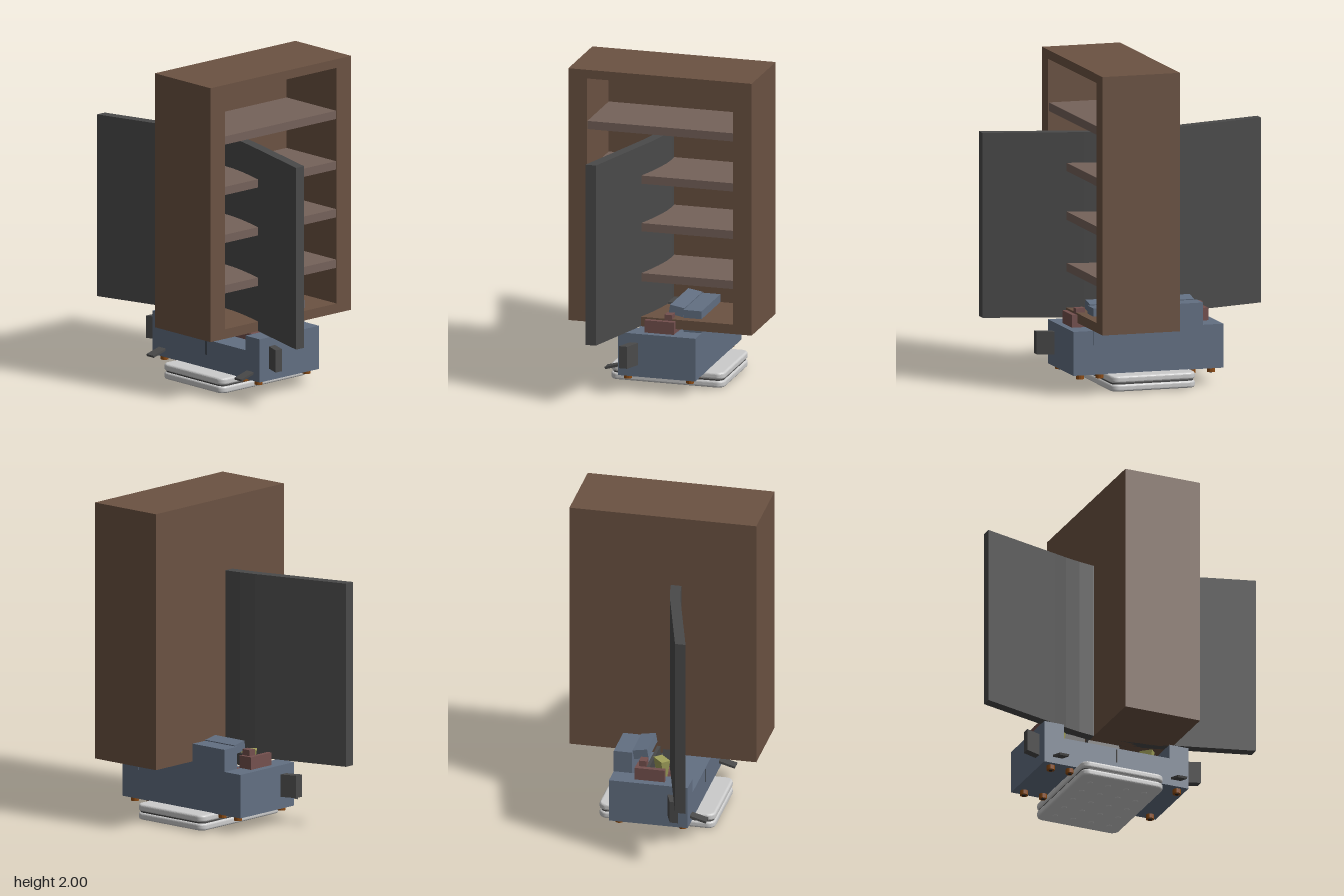
import * as THREE from 'three';

const material = (color) => new THREE.MeshStandardMaterial({ color, flatShading: true });
const brown = material(0x6b5242), shelfBrown = material(0x75625a), dark = material(0x4a4a4a);
const blue = material(0x626f82), red = material(0x74504e), yellow = material(0xa0a05a);
const copper = material(0x8a4a12), black = material(0x222222), grey = material(0xcccccc);

function add(parent, name, geometry, mat) {
  const mesh = new THREE.Mesh(geometry, mat);
  mesh.name = name;
  parent.add(mesh);
  return mesh;
}

// Box given by its limits on each axis
function block(parent, name, mat, [x0, x1], [y0, y1], [z0, z1]) {
  const mesh = add(parent, name, new THREE.BoxGeometry(Math.abs(x1 - x0), y1 - y0, z1 - z0), mat);
  mesh.position.set((x0 + x1) / 2, (y0 + y1) / 2, (z0 + z1) / 2);
  return mesh;
}

// Vertical wall extruded from a plan outline of [x, z] points
function planExtrude(points, y0, y1) {
  const shape = new THREE.Shape(points.map(([x, z]) => new THREE.Vector2(x, -z)));
  return new THREE.ExtrudeGeometry(shape, { depth: y1 - y0, bevelEnabled: false })
    .rotateX(-Math.PI / 2).translate(0, y0, 0);
}

// Box whose top and bottom are scaled differently
function taperedBox(w, h, d, top, bottom) {
  const g = new THREE.BoxGeometry(w, h, d);
  const p = g.attributes.position;
  for (let i = 0; i < p.count; i++) {
    const k = p.getY(i) > 0 ? top : bottom;
    p.setX(i, p.getX(i) * k);
    p.setZ(i, p.getZ(i) * k);
  }
  g.computeVertexNormals();
  return g;
}

function roundedRect(w, d, r) {
  const s = new THREE.Shape(), x = w / 2, y = d / 2;
  s.absarc(x - r, y - r, r, 0, Math.PI / 2);
  s.absarc(r - x, y - r, r, Math.PI / 2, Math.PI);
  s.absarc(r - x, r - y, r, Math.PI, Math.PI * 1.5);
  s.absarc(x - r, r - y, r, Math.PI * 1.5, Math.PI * 2);
  s.closePath();
  return s;
}

function rectPath(path, u, y0, y1) {
  path.moveTo(-u, y0).lineTo(u, y0).lineTo(u, y1).lineTo(-u, y1).closePath();
  return path;
}

function makeCabinet() {
  const g = new THREE.Group();
  g.name = 'cabinet';
  // Frame, open towards +x
  const frame = rectPath(new THREE.Shape(), 0.585, 0.4, 2);
  frame.holes.push(rectPath(new THREE.Path(), 0.465, 0.46, 1.945));
  const frameGeo = new THREE.ExtrudeGeometry(frame, { depth: 0.5, bevelEnabled: false })
    .rotateY(Math.PI / 2).translate(-0.095, 0, 0);
  add(g, 'cabinetFrame', frameGeo, brown);
  block(g, 'cabinetBack', brown, [-0.095, -0.045], [0.46, 1.945], [-0.465, 0.465]);
  for (const y of [0.71, 1.028, 1.33, 1.648])
    block(g, 'shelf', shelfBrown, [-0.045, 0.4], [y - 0.026, y + 0.026], [-0.465, 0.465]);
  return g;
}

function makePanel() {
  // Bent sheet: curved in the middle, straight wings
  const half = [[0, 0.045], [0.1, 0.051], [0.2, 0.068], [0.3, 0.092], [0.38, 0.115], [0.895, 0.26]];
  const back = [...half.slice(1).reverse().map(([x, z]) => [-x, z]), ...half];
  const front = back.map(([x, z]) => [x, z + 0.066]).reverse();
  return planExtrude([...back, ...front], 0.4, 1.545);
}

function makeBase() {
  const g = new THREE.Group();
  g.name = 'base';
  block(g, 'body', blue, [-0.485, 0.48], [0.1, 0.28], [-0.248, 0.245]);
  block(g, 'rearBlock', blue, [-0.355, 0.35], [0.28, 0.51], [-0.248, -0.132]);
  block(g, 'frontSlot', black, [-0.004, 0.004], [0.185, 0.27], [0.2, 0.247]);
  const hood = add(g, 'rearHood', new THREE.BoxGeometry(0.67, 0.058, 0.092), blue);
  hood.position.set(0, 0.495, -0.084);
  hood.rotation.x = -0.17;

  // Middle seat and upright
  block(g, 'seat', red, [-0.35, 0.35], [0.28, 0.325], [-0.01, 0.065]);
  block(g, 'axle', dark, [-0.41, 0.41], [0.37, 0.445], [-0.035, -0.015]);
  const upright = add(g, 'upright', taperedBox(0.24, 0.147, 0.06, 0.7, 1), dark);
  upright.position.set(0, 0.398, 0.025);

  for (const s of [-1, 1]) {
    // Side cheek and bracket
    block(g, 'cheek', blue, [s * 0.353, s < 0 ? -0.485 : 0.48], [0.28, 0.372], [-0.248, 0.245]);
    block(g, 'bracketWall', red, [s * 0.408, s * 0.438], [0.37, 0.45], [-0.098, 0.09]);
    block(g, 'bracketArm', red, [s * 0.345, s * 0.408], [0.37, 0.45], [-0.098, -0.035]);
    block(g, 'bracketBlock', red, [s * 0.35, s * 0.408], [0.45, 0.487], [-0.078, -0.03]);

    // Leaning yellow stop
    const stop = add(g, 'stop', taperedBox(0.1, 0.175, 0.06, 1, 0.45), yellow);
    stop.position.set(s * 0.295, 0.372, 0.04);
    stop.rotation.y = -s * 0.75;

    // Slanted side bumper
    const outline = [[0.45, 0.105], [0.582, 0.155], [0.582, 0.207], [0.45, 0.157]]
      .map(([x, z]) => [s * x, z]);
    add(g, 'sideBumper', planExtrude(outline, 0.175, 0.315), dark);

    // Sloping pedal at the front
    const pedal = add(g, 'pedal', new THREE.BoxGeometry(0.062, 0.014, 0.125), dark);
    pedal.position.set(s * 0.395, 0.137, 0.286);
    pedal.rotation.x = 0.27;

    // Bolts under the body
    for (const x of [0.295, 0.422])
      for (const z of [-0.198, 0.2]) {
        const bolt = add(g, 'bolt', new THREE.CylinderGeometry(0.025, 0.025, 0.03, 12), copper);
        bolt.position.set(s * x, 0.086, z);
        const socket = add(g, 'boltSocket', new THREE.CylinderGeometry(0.012, 0.012, 0.004, 6), black);
        socket.position.set(s * x, 0.07, z);
      }
  }
  return g;
}

function makePad() {
  const g = new THREE.Group();
  g.name = 'footPad';
  // Two cushioned layers with a groove between them
  const bevel = 0.014;
  for (const y of [0.006, 0.058]) {
    const geo = new THREE.ExtrudeGeometry(roundedRect(0.546 - 2 * bevel, 0.728 - 2 * bevel, 0.035), {
      depth: 0.044 - 2 * bevel, bevelThickness: bevel, bevelSize: bevel, bevelSegments: 4, curveSegments: 6,
    }).rotateX(-Math.PI / 2).translate(0, y + bevel, 0);
    add(g, 'padLayer', geo, grey);
  }
  const core = new THREE.ExtrudeGeometry(roundedRect(0.525, 0.705, 0.04), { depth: 0.04, bevelEnabled: false });
  add(g, 'padCore', core.rotateX(-Math.PI / 2).translate(0, 0.034, 0), dark);
  // Grip studs underneath
  for (let i = 0; i < 4; i++)
    for (let j = 0; j < 5; j++) {
      const stud = add(g, 'gripStud', new THREE.SphereGeometry(0.018, 10, 6), grey);
      stud.scale.y = 0.35;
      stud.position.set(-0.18 + i * 0.12, 0.0063, -0.26 + j * 0.13);
    }
  g.position.x = -0.003;
  return g;
}

export function createModel() {
  const model = new THREE.Group();
  model.name = 'cabinetOnBase';
  model.add(makeCabinet(), makeBase(), makePad());
  add(model, 'bentPanel', makePanel(), dark);
  return model;
}
